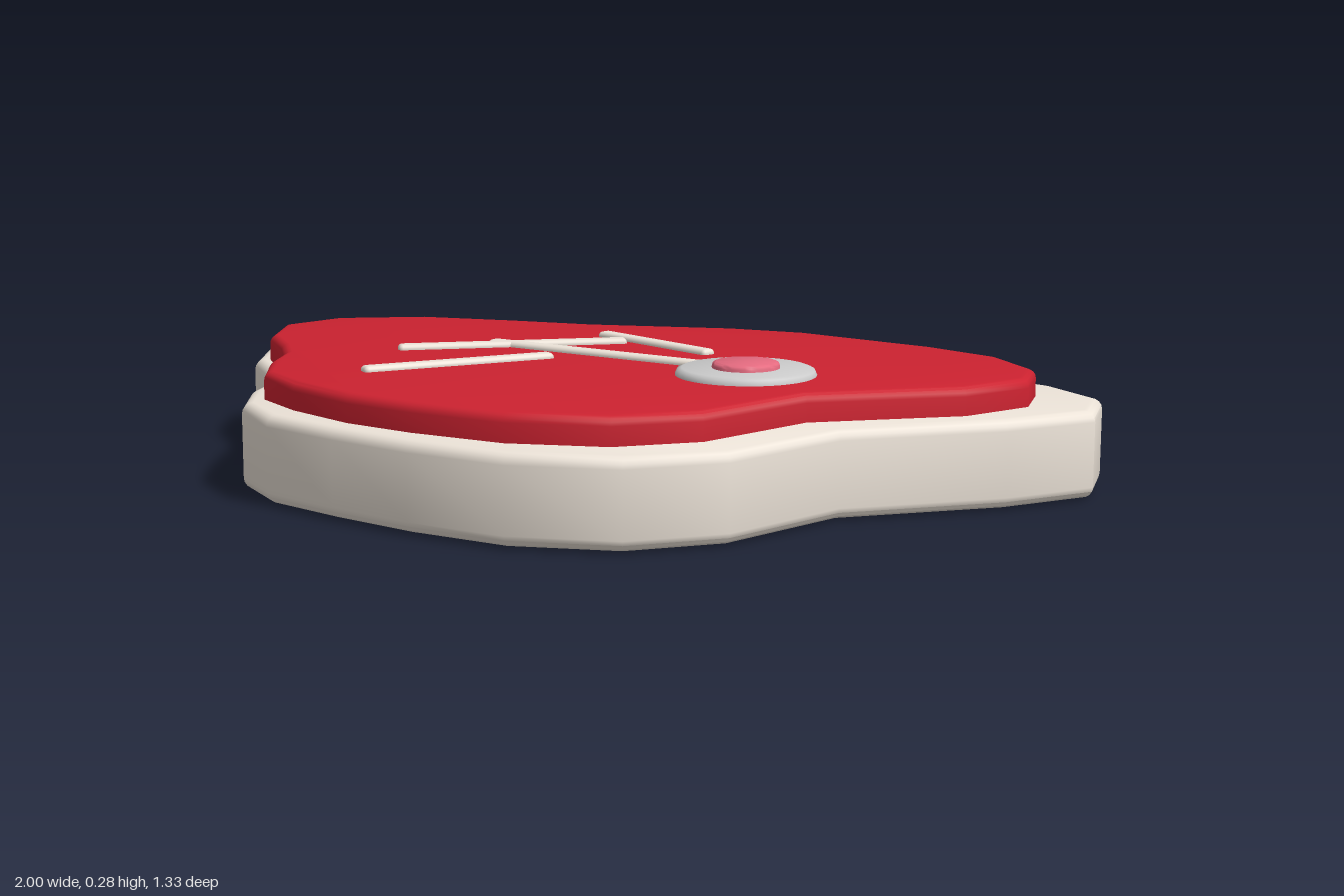
import * as THREE from 'three';
import { toCreasedNormals } from 'three/addons/utils/BufferGeometryUtils.js';
import { RoundedBoxGeometry } from 'three/addons/geometries/RoundedBoxGeometry.js';

const material = (color) => new THREE.MeshStandardMaterial({ color });

// Outlines as [x, z] pairs
const fatOutline = [
  [-1, -.40], [-.91, -.57], [-.70, -.65], [-.47, -.66], [-.22, -.64], [.15, -.67],
  [.36, -.65], [.62, -.53], [.88, -.39], [1, -.25], [1, -.09], [.84, .06],
  [.53, .25], [.37, .52], [.19, .64], [-.04, .66], [-.26, .60], [-.45, .52],
  [-.63, .43], [-.74, .31], [-.79, .16], [-.80, .03], [-.86, -.09], [-.95, -.22],
];
const meatOutline = [
  [-.95, -.39], [-.87, -.53], [-.67, -.61], [-.44, -.61], [-.24, -.60], [.10, -.63],
  [.28, -.61], [.60, -.48], [.76, -.38], [.86, -.23], [.86, -.10], [.75, .04],
  [.45, .20], [.30, .45], [.14, .55], [-.07, .57], [-.28, .52], [-.44, .46],
  [-.60, .36], [-.71, .26], [-.76, .12], [-.78, 0], [-.83, -.10], [-.91, -.22],
];

// Flat slab with rounded edges between two heights
function slab(outline, bottom, top, bevel) {
  const shape = new THREE.Shape(outline.map(([x, z]) => new THREE.Vector2(x, -z)));
  const geometry = new THREE.ExtrudeGeometry(shape, {
    depth: top - bottom - 2 * bevel,
    bevelThickness: bevel, bevelSize: bevel, bevelOffset: -bevel, bevelSegments: 4,
  });
  geometry.rotateX(-Math.PI / 2).translate(0, bottom + bevel, 0);
  return toCreasedNormals(geometry, 0.75);
}

// Round plug with a softened top rim
function plug(radius, bottom, top, bevel) {
  const points = [[0, bottom], [radius, bottom], [radius, top - bevel],
    [radius - bevel * .3, top - bevel * .3], [radius - bevel, top], [0, top]];
  const geometry = new THREE.LatheGeometry(points.map(([r, y]) => new THREE.Vector2(r, y)), 32);
  return toCreasedNormals(geometry, 0.8);
}

export function createModel() {
  const model = new THREE.Group();
  const fat = material(0xece3d8);
  const add = (name, geometry, mat) => {
    const mesh = new THREE.Mesh(geometry, mat);
    mesh.name = name;
    model.add(mesh);
    return mesh;
  };

  add('fatRim', slab(fatOutline, 0.004, 0.19, 0.024), fat);
  add('meat', slab(meatOutline, 0.12, 0.25, 0.02), material(0xcc2230));

  // Bone with its marrow, which runs through to the underside
  add('bone', plug(0.15, 0.15, 0.265, 0.014), material(0xcccccc)).position.set(.28, 0, .01);
  add('marrow', plug(0.072, 0, 0.278, 0.008), material(0xe56b80)).position.set(.28, 0, .01);

  // Marbling streaks from [x, z] to [x, z]
  const streaks = [
    [-.545, -.10, -.08, -.335],
    [-.37, -.235, .18, -.06],
    [-.16, -.42, .145, -.22],
    [-.51, .20, -.18, -.09],
  ];
  for (const [x1, z1, x2, z2] of streaks) {
    const length = Math.hypot(x2 - x1, z2 - z1);
    const streak = add('marblingStreak', new RoundedBoxGeometry(length, 0.035, 0.036, 2, 0.01), fat);
    streak.position.set((x1 + x2) / 2, 0.2445, (z1 + z2) / 2);
    streak.rotation.y = -Math.atan2(z2 - z1, x2 - x1);
  }
  return model;
}
